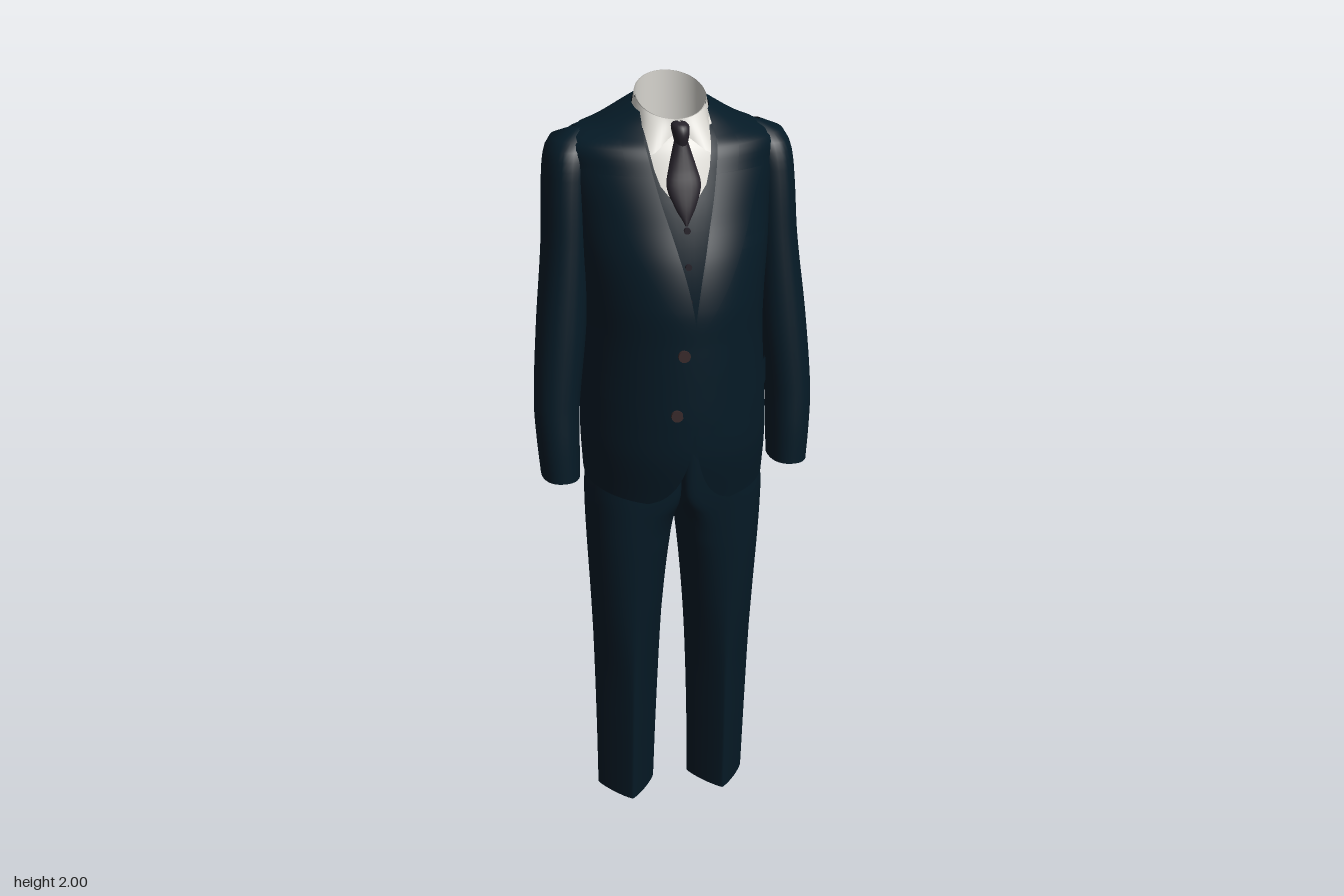
import * as THREE from 'three';
import { ParametricGeometry } from 'three/addons/geometries/ParametricGeometry.js';

const mat = (name, color) => new THREE.MeshStandardMaterial({ name, color, side: THREE.DoubleSide });

// Smooth interpolation of table rows [y, a, b, ...] at height y
function sample(rows, y) {
  const n = rows.length - 1;
  let i = 0;
  while (i < n - 1 && y > rows[i + 1][0]) i++;
  const h = rows[i + 1][0] - rows[i][0];
  const t = THREE.MathUtils.clamp((y - rows[i][0]) / h, 0, 1);
  const slope = (k, c) => {
    const p = rows[Math.max(k - 1, 0)], q = rows[Math.min(k + 1, n)];
    return (q[c] - p[c]) / (q[0] - p[0]);
  };
  return rows[i].slice(1).map((v, j) => {
    const c = j + 1, t2 = t * t, t3 = t2 * t;
    return (2 * t3 - 3 * t2 + 1) * v + (t3 - 2 * t2 + t) * h * slope(i, c)
      + (3 * t2 - 2 * t3) * rows[i + 1][c] + (t3 - t2) * h * slope(i + 1, c);
  });
}

const spow = (v, e) => Math.sign(v) * Math.pow(Math.abs(v), e);

// Torso cross-sections: [y, half width, front z, back z, widest z, back roundness]
const JACKET = [
  [0.97, 0.233, 0.198, -0.245, -0.02, 0.9], [1.1, 0.238, 0.23, -0.234, -0.02, 0.85], [1.2, 0.235, 0.238, -0.217, -0.02, 0.8],
  [1.3, 0.23, 0.24, -0.2, -0.02, 0.75], [1.4, 0.225, 0.24, -0.194, -0.02, 0.72], [1.5, 0.23, 0.238, -0.196, -0.03, 0.66],
  [1.6, 0.24, 0.216, -0.201, -0.04, 0.6], [1.7, 0.25, 0.173, -0.204, -0.055, 0.56], [1.8, 0.265, 0.127, -0.2, -0.07, 0.56],
  [1.86, 0.262, 0.097, -0.182, -0.075, 0.62], [1.895, 0.178, 0.075, -0.163, -0.065, 0.75],
  [1.918, 0.133, 0.058, -0.147, -0.055, 0.85], [1.94, 0.094, 0.045, -0.126, -0.045, 0.98]];
const VEST = [
  [1.05, 0.205, 0.14, -0.17, -0.02, 1], [1.3, 0.2, 0.163, -0.17, -0.02, 1], [1.5, 0.205, 0.166, -0.17, -0.03, 1],
  [1.6, 0.21, 0.157, -0.17, -0.04, 1], [1.7, 0.215, 0.135, -0.17, -0.055, 1], [1.8, 0.215, 0.1, -0.17, -0.07, 1],
  [1.86, 0.195, 0.075, -0.15, -0.07, 1], [1.9, 0.135, 0.055, -0.14, -0.06, 1], [1.94, 0.09, 0.035, -0.12, -0.045, 1]];

// Point on a torso shell; angle 0 is the front, PI/2 is +x; the neckline tilts down to the front
function torsoPoint(rows, a, y, off, target) {
  const [w, f, b, c, round] = sample(rows, y);
  const s = Math.sin(a), k = Math.cos(a), e = k < 0 ? round : 1;
  const tilt = 0.028 * THREE.MathUtils.smoothstep(y, 1.83, 1.94);
  target.set(w * spow(s, e) + off * s, y - tilt * k, c + (k > 0 ? (f - c) * k : (c - b) * spow(k, e)) + off * k);
}
const angleAt = (rows, x, y) => Math.asin(THREE.MathUtils.clamp(x / sample(rows, y)[0], -0.98, 0.98));

// Half opening of the jacket front and of the vest neckline
const FRONT_EDGE = [[0.97, 0.115], [0.99, 0.075], [1.03, 0.04], [1.1, 0.014], [1.2, 0.001], [1.3, 0], [1.45, 0],
  [1.55, 0.015], [1.65, 0.039], [1.76, 0.068], [1.87, 0.087], [1.94, 0.083]];
const VEST_EDGE = [[1.05, 0.05], [1.12, 0], [1.4, 0], [1.69, 0], [1.78, 0.06], [1.94, 0.085]];
const LAPEL_EDGE = [[1.44, 0.012], [1.55, 0.082], [1.65, 0.132], [1.75, 0.172], [1.8, 0.195]];
const COLLAR_EDGE = [[1.8, 0.13], [1.87, 0.138], [1.91, 0.12], [1.94, 0.092]];

// Tube of horizontal sections: [y, inner x, outer x, front z, back z, inner squareness, outer squareness]
function tube(rows, s, nu = 32, nv = 40) {
  const y0 = rows[0][0], y1 = rows[rows.length - 1][0];
  return new ParametricGeometry((u, v, t) => {
    const y = y0 + (y1 - y0) * v;
    const [xi, xo, zf, zb, inner = 2.3, outer = 2.3] = sample(rows, y);
    const a = u * Math.PI * 2 * s, k = s * Math.sin(a), c = Math.cos(a);
    const e = 2 / (k < 0 ? inner : outer);
    t.set(s * ((xi + xo) / 2 + (xo - xi) / 2 * spow(k, e)), y, (zf + zb) / 2 + (zf - zb) / 2 * spow(c, e));
  }, nu, nv);
}

export function createModel() {
  const group = new THREE.Group();
  const suit = mat('navy cloth', 0x051a26);
  const white = mat('shirt white', 0xd8d6d0);
  const tieCloth = mat('tie charcoal', 0x26222a);
  const brown = mat('button brown', 0x38292a);

  const add = (name, geometry, material) => {
    const mesh = new THREE.Mesh(geometry, material);
    mesh.name = name;
    group.add(mesh);
    return mesh;
  };
  // Piece of a torso shell between two angle rules, mirrored for s = -1
  const panel = (rows, s, a0, a1, y0, y1, off, nu = 12, nv = 24) => new ParametricGeometry((u, v, t) => {
    const y = y0 + (y1 - y0) * v, k = s > 0 ? u : 1 - u;
    torsoPoint(rows, s * (a0(y) + (a1(y) - a0(y)) * k), y, off, t);
  }, nu, nv);
  const edge = (rows, table) => y => angleAt(rows, sample(table, y)[0], y);
  const fixed = a => () => a;
  const button = (name, x, y, z, r, material, yaw = 0) => {
    const geo = new THREE.CylinderGeometry(r, r, 0.008, 16).rotateX(Math.PI / 2).rotateY(yaw);
    add(name, geo, material).position.set(x, y, z);
  };

  // Jacket body, open at the front, with the hem rising toward the back
  const jacketFront = edge(JACKET, FRONT_EDGE);
  add('jacketBody', new ParametricGeometry((u, v, t) => {
    const y = 0.975 + 0.965 * v, a0 = jacketFront(y);
    const a = a0 + (Math.PI * 2 - 2 * a0) * u;
    torsoPoint(JACKET, a, y, 0, t);
    t.y += 0.022 * (1 - Math.cos(a)) * Math.pow(1 - v, 8);
  }, 80, 70), suit);
  add('frontOverlap', panel(JACKET, 1, y => angleAt(JACKET, -0.03, y), y => angleAt(JACKET, 0.016, y), 1.18, 1.45, 0.003), suit);
  add('backCollar', panel(JACKET, 1, fixed(1.2), fixed(Math.PI * 2 - 1.2), 1.88, 1.94, 0.004, 48, 12), suit);
  add('breastPocket', panel(JACKET, 1, fixed(0.55), fixed(0.95), 1.625, 1.65, 0.005), suit);

  const sleeveRows = [
    [1.008, 0.252, 0.35, 0.08, -0.07], [1.1, 0.25, 0.357, 0.078, -0.077], [1.2, 0.246, 0.36, 0.072, -0.086],
    [1.4, 0.222, 0.345, 0.06, -0.112], [1.6, 0.208, 0.323, 0.046, -0.147], [1.75, 0.2, 0.315, 0.034, -0.165],
    [1.82, 0.192, 0.307, 0.022, -0.165], [1.855, 0.188, 0.292, 0, -0.153], [1.874, 0.19, 0.268, -0.03, -0.132],
    [1.882, 0.205, 0.235, -0.065, -0.095]];
  // Trouser legs with pressed creases below the knee, meeting flat at the seat
  const legRows = [
    [0, 0.05, 0.21, 0.05, -0.16, 1.2, 1.2], [0.2, 0.045, 0.213, 0.066, -0.15, 1.2, 1.2],
    [0.4, 0.038, 0.217, 0.08, -0.143, 1.3, 1.3], [0.6, 0.029, 0.222, 0.096, -0.15, 1.7, 1.75],
    [0.8, 0.014, 0.23, 0.111, -0.158, 2.4, 2.1], [0.9, 0.005, 0.233, 0.117, -0.16, 3.8, 2.2],
    [0.96, 0, 0.232, 0.12, -0.161, 9, 2.3], [1.05, 0, 0.222, 0.122, -0.162, 10, 2.3],
    [1.12, 0, 0.212, 0.122, -0.162, 10, 2.3]];

  for (const s of [1, -1]) {
    const side = s > 0 ? 'left' : 'right';
    // Lapel, upper collar, pocket flap and back vent
    add(side + 'Lapel', panel(JACKET, s, jacketFront, edge(JACKET, LAPEL_EDGE), 1.44, 1.8, 0.009), suit);
    add(side + 'UpperCollar', panel(JACKET, s, jacketFront, edge(JACKET, COLLAR_EDGE), 1.8, 1.94, 0.005), suit);
    add(side + 'PocketFlap', panel(JACKET, s, fixed(0.72), fixed(1.28), 1.25, 1.315, 0.005), suit);
    add(side + 'BackVent', panel(JACKET, s, fixed(2.3), fixed(2.5), 1.03, 1.22, 0.003), suit);
    add(side + 'Sleeve', tube(sleeveRows, s), suit);
    add(side + 'TrouserLeg', tube(legRows, s, 40, 48), suit);
    add(side + 'VestFront', panel(VEST, s, edge(VEST, VEST_EDGE), fixed(1.3), 1.07, 1.91, 0), suit);
    // Cuff buttons
    for (let i = 0; i < 4; i++) button(side + 'CuffButton', s * 0.338, 1.065 + i * 0.026, -0.062, 0.009, brown, s * 2.45);
  }

  // Jacket and vest buttons
  button('jacketButton', -0.028, 1.39, 0.242, 0.015, brown);
  button('jacketButton', -0.044, 1.235, 0.236, 0.015, brown);
  for (let y = 1.16; y < 1.68; y += 0.085) button('vestButton', 0, y, sample(VEST, y)[1] + 0.002, 0.008, tieCloth);

  // Shirt front, set just behind the vest
  add('shirtFront', panel(VEST, 1, fixed(-1.15), fixed(1.15), 1.62, 1.93, -0.01, 28, 20), white);

  // Shirt collar: standing band and folded leaf with two points
  const collarTop = a => 1.957 - 0.043 * Math.cos(a);
  const ring = (t, a, r, y) => t.set((0.085 + r) * Math.sin(a), y, -0.042 + (0.081 + r) * Math.cos(a));
  add('collarBand', new ParametricGeometry((u, v, t) => {
    const a = u * Math.PI * 2;
    ring(t, a, 0.003 * (1 - v), collarTop(a) - (0.095 - 0.045 * Math.cos(a)) * (1 - v));
  }, 48, 4), white);
  add('collarLeaf', new ParametricGeometry((u, v, t) => {
    const a = 0.1 + u * (Math.PI * 2 - 0.2), d = Math.min(a, Math.PI * 2 - a);
    const drop = 0.034 + 0.05 * Math.exp(-Math.pow((d - 0.6) / 0.28, 2)), k = 1 - v;
    ring(t, a, 0.003 + k * (0.006 + 0.95 * (drop - 0.034)), collarTop(a) - drop * k);
  }, 80, 8), white);

  // Tie: knot and blade narrowing to a tip under the vest
  add('tieKnot', tube([[1.862, -0.014, 0.014, 0.099, 0.06], [1.885, -0.019, 0.019, 0.103, 0.045],
    [1.903, -0.021, 0.021, 0.098, 0.035], [1.911, -0.016, 0.016, 0.088, 0.04], [1.914, -0.004, 0.004, 0.07, 0.055]], 1, 20, 14), tieCloth);
  add('tieBlade', tube([[1.68, -0.004, 0.004, 0.143, 0.12], [1.72, -0.025, 0.025, 0.137, 0.11],
    [1.77, -0.042, 0.042, 0.125, 0.09], [1.81, -0.034, 0.034, 0.113, 0.075],
    [1.87, -0.016, 0.016, 0.097, 0.055]], 1, 20, 16), tieCloth);

  return group;
}
